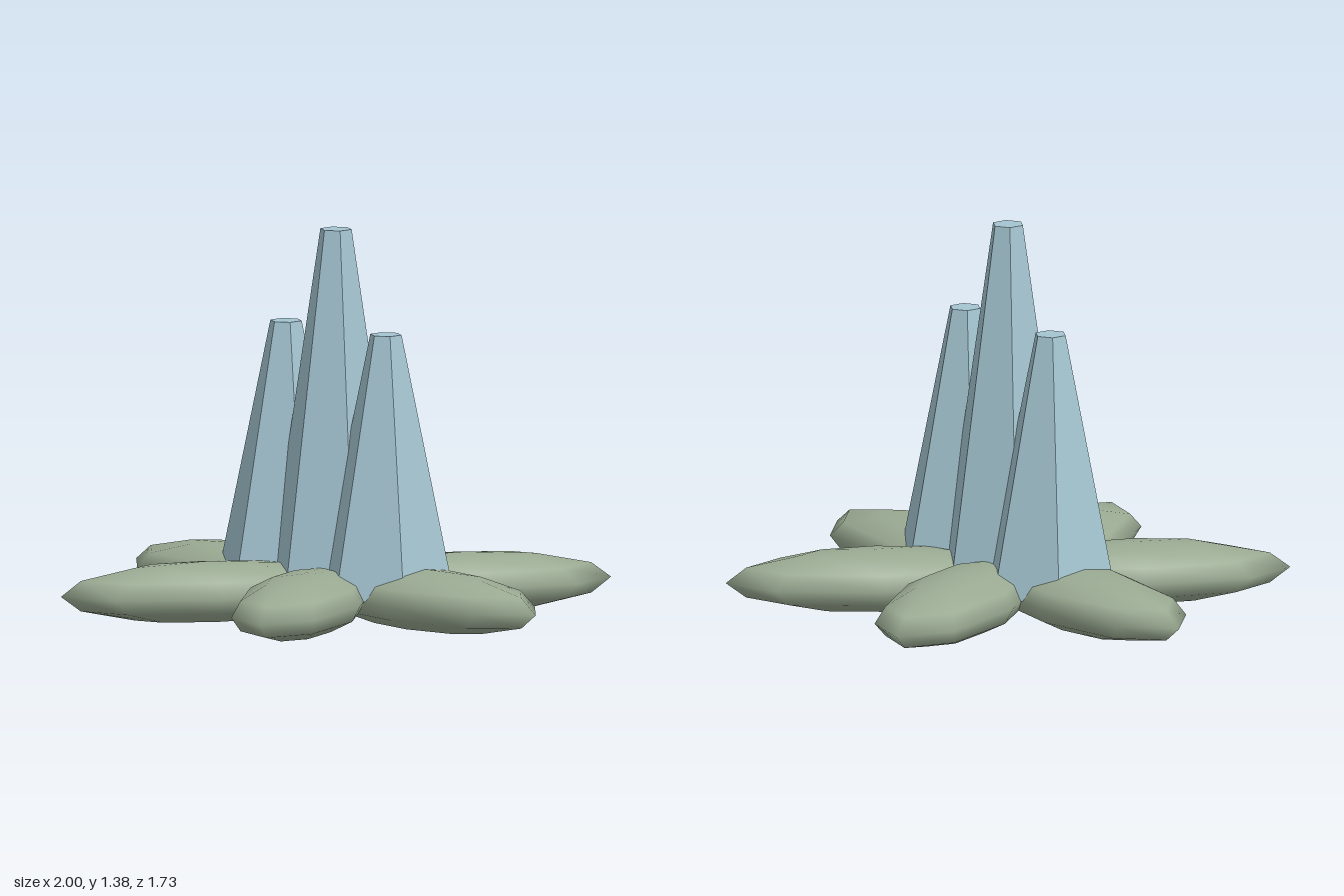
import * as THREE from 'three';

export function createModel() {
  const model = new THREE.Group();
  const leafGreen = new THREE.MeshStandardMaterial({ color: 0x9bab93 });
  const crystalBlue = new THREE.MeshStandardMaterial({ color: 0xa3c4d0 });
  crystalBlue.flatShading = true;

  // Ring of six flattened, low-poly leaves that overlap at the middle
  const leafHeight = 0.108;
  const leafGeometry = new THREE.SphereGeometry(1, 8, 6);
  leafGeometry.scale(0.54, leafHeight, 0.214);
  leafGeometry.translate(0.46, leafHeight, 0);
  for (let i = 0; i < 6; i++) {
    const leaf = new THREE.Mesh(leafGeometry, leafGreen);
    leaf.name = `leaf${i + 1}`;
    leaf.rotation.y = (i * Math.PI) / 3;
    model.add(leaf);
  }

  // Three tapered hexagonal crystals standing in a row
  function addCrystal(name, x, top) {
    const height = top - leafHeight;
    const crystal = new THREE.Mesh(
      new THREE.CylinderGeometry(0.057, 0.25, height, 6), crystalBlue);
    crystal.name = name;
    crystal.position.set(x, leafHeight + height / 2, 0);
    model.add(crystal);
  }
  addCrystal('centreCrystal', 0, 1.38);
  addCrystal('leftCrystal', 0.25, 1.03);
  addCrystal('rightCrystal', -0.25, 1.03);

  return model;
}
